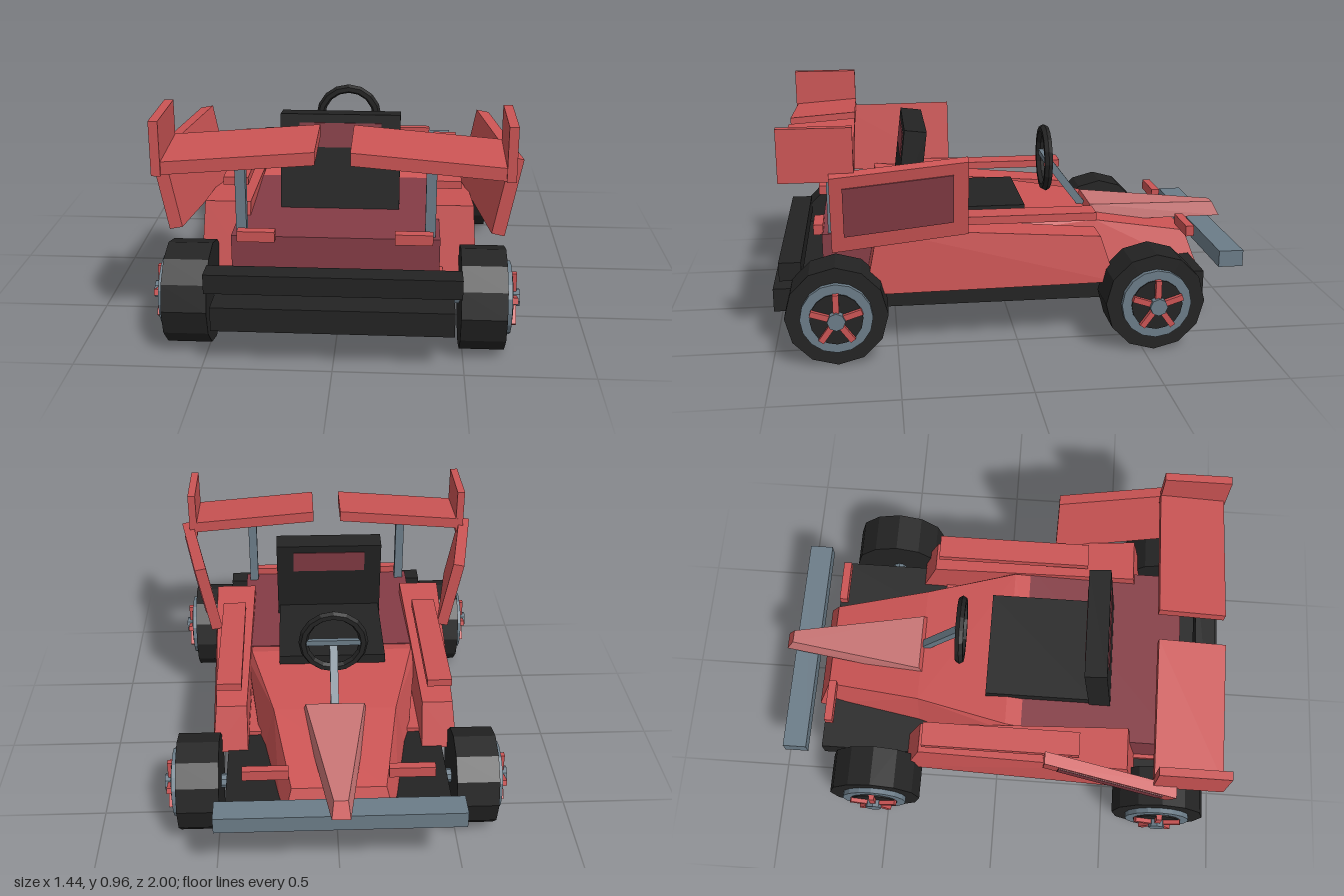
import * as THREE from 'three';
import { ConvexGeometry } from 'three/addons/geometries/ConvexGeometry.js';

const paint = (name, color) => {
  const m = new THREE.MeshStandardMaterial({ color, flatShading: true });
  m.name = name;
  return m;
};

export function createModel() {
  const red = paint('red', 0xcb5454);
  const darkRed = paint('dark red', 0x853c45);
  const pink = paint('pink', 0xc97575);
  const black = paint('black', 0x232323);
  const grey = paint('blue grey', 0x6b7c88);

  const kart = new THREE.Group();
  kart.name = 'kart';

  const add = (name, geometry, material, parent = kart) => {
    const mesh = new THREE.Mesh(geometry, material);
    mesh.name = name;
    parent.add(mesh);
    return mesh;
  };
  // Box given by its lower and upper limits on each axis
  const box = (name, material, [x0, x1], [y0, y1], [z0, z1], parent) => {
    const mesh = add(name, new THREE.BoxGeometry(Math.abs(x1 - x0), y1 - y0, z1 - z0), material, parent);
    mesh.position.set((x0 + x1) / 2, (y0 + y1) / 2, (z0 + z1) / 2);
    return mesh;
  };
  // Convex block from corner points, mirrored in x when s = -1
  const block = (name, material, points, s = 1) =>
    add(name, new ConvexGeometry(points.map(([x, y, z]) => new THREE.Vector3(x * s, y, z))), material);
  const bothSides = (points) => points.flatMap(([x, y, z]) => [[x, y, z], [-x, y, z]]);
  // Cylinder lying along x, from x0 to x1
  const disc = (name, material, r, x0, x1, sides, parent) => {
    const mesh = add(name, new THREE.CylinderGeometry(r, r, Math.abs(x1 - x0), sides).rotateZ(Math.PI / 2), material, parent);
    mesh.position.x = (x0 + x1) / 2;
    return mesh;
  };

  // Chassis, rear deck and bumper
  box('floor', black, [-0.46, 0.46], [0.16, 0.257], [-0.805, 1]);
  box('rearDeck', darkRed, [-0.403, 0.403], [0.25, 0.465], [0.1, 0.795]);
  box('bodySill', red, [-0.42, 0.42], [0.25, 0.275], [-0.3, 0.785]);
  box('rearBumper', black, [-0.487, 0.487], [0.3, 0.377], [0.88, 0.97]);

  // Nose body, in two tapering sections
  const mid = [[0.26, 0.44, -0.37], [0.315, 0.2, -0.37]];
  block('noseFront', red, bothSides([[0.19, 0.355, -0.79], [0.235, 0.185, -0.85], ...mid]));
  block('noseRear', red, bothSides([...mid, [0.36, 0.48, 0.03], [0.38, 0.44, 0.03], [0.37, 0.44, 0.18], [0.38, 0.2, 0.18]]));

  // Nose wedge: pink skin with red ends
  const wedge = block('noseWedge', [pink, red], bothSides([
    [0.125, 0.47, -0.375], [0.14, 0.4, -0.345], [0.028, 0.435, -0.965], [0.037, 0.37, -1],
  ]));
  const normals = wedge.geometry.attributes.normal;
  for (let i = 0; i < normals.count; i += 3) {
    wedge.geometry.addGroup(i, 3, Math.abs(normals.getZ(i)) > 0.6 || normals.getY(i) < -0.5 ? 1 : 0);
  }
  box('frontWing', grey, [-0.495, 0.495], [0.285, 0.355], [-0.962, -0.858]);

  // Seat with a forward leaning back and a coloured head panel
  box('seatBase', black, [-0.235, 0.235], [0.44, 0.512], [-0.065, 0.42]);
  const seatBack = new THREE.Group();
  seatBack.name = 'seatBack';
  seatBack.position.set(0, 0.66, 0.42);
  seatBack.rotation.x = -0.12;
  kart.add(seatBack);
  box('backrest', black, [-0.242, 0.242], [-0.2, 0.19], [-0.047, 0.047], seatBack);
  box('headPanel', darkRed, [-0.165, 0.165], [0.055, 0.155], [-0.051, 0.051], seatBack);

  // Steering
  const wheelRim = add('steeringWheel', new THREE.TorusGeometry(0.13, 0.02, 6, 16), black);
  wheelRim.position.set(0, 0.66, -0.186);
  box('steeringBar', grey, [-0.125, 0.125], [0.648, 0.672], [-0.198, -0.178]);
  const column = add('steeringColumn', new THREE.BoxGeometry(0.034, 0.034, 0.27), grey);
  column.position.set(0, 0.54, -0.282);
  column.rotation.x = -0.92;

  for (const s of [1, -1]) {
    // Side pod and the flat arm rest on it
    block('sidePod', red, [
      [0.375, 0.445, -0.345], [0.505, 0.445, -0.345], [0.375, 0.25, -0.41], [0.525, 0.25, -0.41],
      [0.355, 0.52, 0.57], [0.54, 0.52, 0.57], [0.36, 0.25, 0.625], [0.555, 0.25, 0.625],
    ], s);
    box('armRest', red, [0.395 * s, 0.5 * s], [0.513, 0.546], [-0.325, 0.36]);

    // Leaning side fin: f runs front to back, u bottom to top, d inward
    const fin = (f, u, d) => [0.55 + 0.1 * f + 0.06 * u - d, 0.492 - 0.025 * f + 0.312 * u + 0.2 * d, 0.207 + 0.54 * f];
    const panel = (f0, f1, u0, u1, d0, d1) =>
      [f0, f1].flatMap((f) => [u0, u1].flatMap((u) => [d0, d1].map((d) => fin(f, u, d))));
    block('sideFin', red, panel(0, 1, 0, 1, 0, 0.05), s);
    block('finPanel', darkRed, panel(0.11, 0.91, 0.2, 0.85, -0.005, 0.002), s);

    // Rear wing half, end plate and strut
    block('rearWing', red, [0, 0.05].flatMap((t) => [
      [0.065, 0.875 - t, 0.65], [0.64, 0.827 - t, 0.65],
      [0.065, 0.855 - t, 0.93], [0.64, 0.807 - t, 0.93],
    ]), s);
    box('wingEndPlate', red, [0.63 * s, 0.665 * s], [0.755, 0.965], [0.652, 0.938]);
    box('wingStrut', grey, [0.345 * s, 0.385 * s], [0.44, 0.81], [0.73, 0.77]);

    // Small tabs at nose and tail
    box('noseTab', red, [0.2 * s, 0.385 * s], [0.39, 0.435], [-0.777, -0.742]);
    box('tailTab', red, [0.23 * s, 0.375 * s], [0.455, 0.497], [0.79, 0.83]);

    // Wheels
    for (const [end, z] of [['front', -0.545], ['rear', 0.74]]) {
      const wheel = new THREE.Group();
      wheel.name = end + 'Wheel';
      wheel.position.set(0, 0.205, z);
      kart.add(wheel);
      disc('axle', grey, 0.03, 0.3 * s, 0.5 * s, 8, wheel);
      disc('tyre', black, 0.204, 0.485 * s, 0.66 * s, 12, wheel);
      disc('rim', grey, 0.143, 0.64 * s, 0.682 * s, 16, wheel);
      disc('rimCentre', black, 0.105, 0.67 * s, 0.688 * s, 16, wheel);
      disc('hub', grey, 0.036, 0.67 * s, 0.72 * s, 8, wheel);
      for (let i = 0; i < 5; i++) {
        const a = (i / 5) * Math.PI * 2;
        const spoke = add('spoke', new THREE.BoxGeometry(0.022, 0.085, 0.024), red, wheel);
        spoke.position.set(0.695 * s, Math.cos(a) * 0.064, Math.sin(a) * 0.064);
        spoke.rotation.x = a;
      }
    }
  }
  return kart;
}
